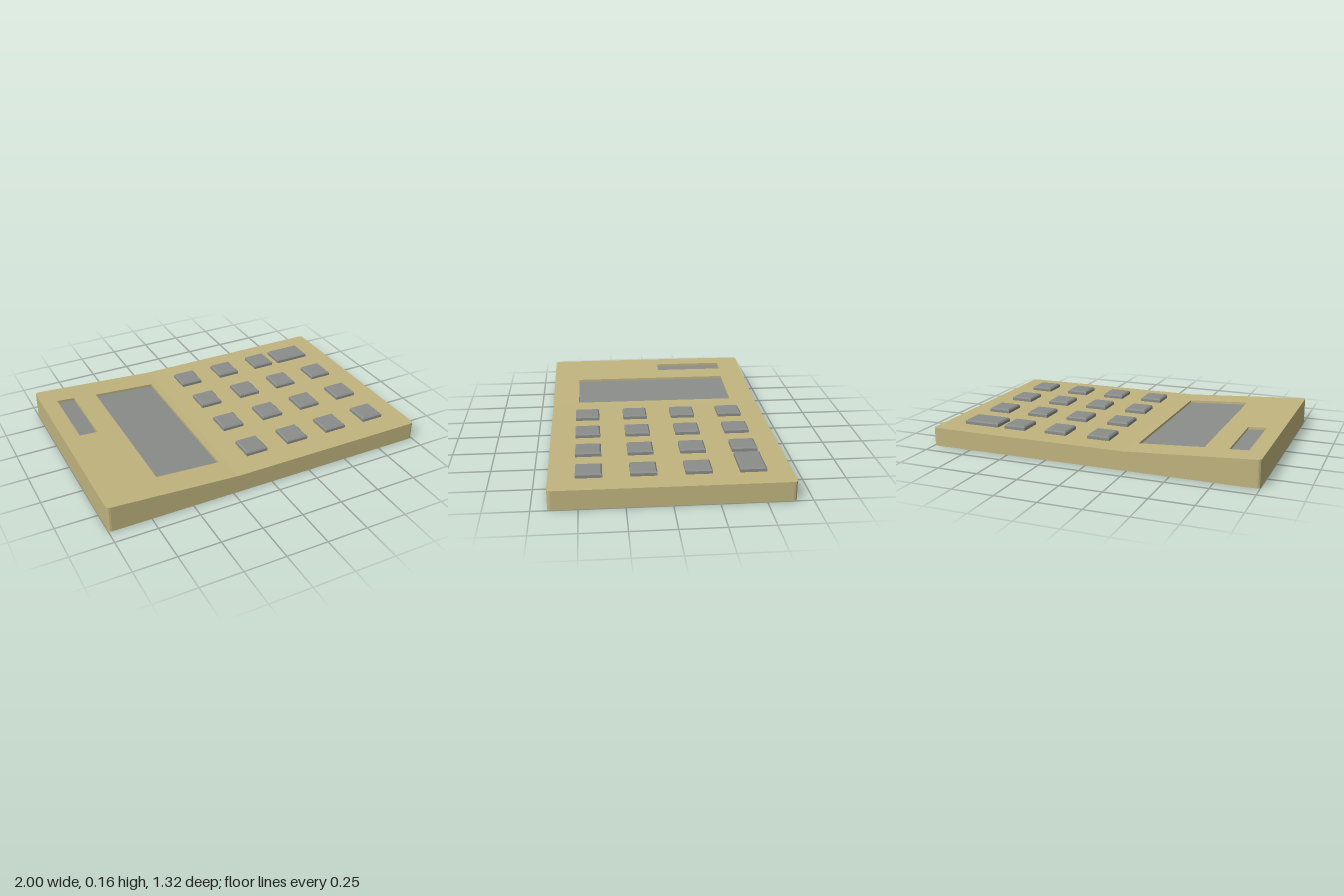
import * as THREE from 'three';

const CREASE = -0.22, FLAT = 0.112, HIGH = 0.16;
const HALF_Z = 0.661, R = 0.02, SINK = 0.015;

// height of the top face: sloped head, flat keypad
const topY = (x) => FLAT + (HIGH - FLAT) * Math.max(0, (CREASE - x) / (CREASE + 1));

// plan points are (x, -z), counter-clockwise seen from above
const rect = (x0, x1, z0, z1) => [[x0, -z1], [x1, -z1], [x1, -z0], [x0, -z0]].map((p) => new THREE.Vector2(...p));

function arc(cx, cy, start) {
  return [0, 1, 2, 3].map((i) => {
    const a = start + (i / 3) * Math.PI / 2;
    return new THREE.Vector2(cx + R * Math.cos(a), cy + R * Math.sin(a));
  });
}

// horizontal face whose height follows a rule
function cap(points, holes, height) {
  const shape = new THREE.Shape(points);
  shape.holes = holes.map((h) => new THREE.Path(h));
  const geo = new THREE.ShapeGeometry(shape).rotateX(-Math.PI / 2);
  const p = geo.attributes.position;
  for (let i = 0; i < p.count; i++) p.setY(i, height(p.getX(i)));
  geo.computeVertexNormals();
  return geo;
}

// vertical band around a closed outline, facing outwards (or inwards)
function wall(points, low, high, inward = false) {
  const pos = [];
  points.forEach((p, i) => {
    let a = p, b = points[(i + 1) % points.length];
    if (inward) [a, b] = [b, a];
    const v = [[a, low], [b, low], [b, high], [a, high]].map(([q, h]) => [q.x, h(q.x), -q.y]);
    for (const k of [0, 1, 2, 0, 2, 3]) pos.push(...v[k]);
  });
  const geo = new THREE.BufferGeometry();
  geo.setAttribute('position', new THREE.Float32BufferAttribute(pos, 3));
  geo.computeVertexNormals();
  return geo;
}

// key cap with a small chamfer round its top
function keyGeometry(w, d) {
  const b = 0.008;
  const shape = new THREE.Shape(rect(-w / 2 + b, w / 2 - b, -d / 2 + b, d / 2 - b));
  return new THREE.ExtrudeGeometry(shape, {
    depth: 0.03, bevelEnabled: true, bevelThickness: b, bevelSize: b, bevelSegments: 1,
  }).rotateX(-Math.PI / 2);
}

export function createModel() {
  const group = new THREE.Group();
  const caseMat = new THREE.MeshStandardMaterial({ color: 0xc0b47e });
  const greyMat = new THREE.MeshStandardMaterial({ color: 0x8a8d8a });
  const add = (parent, name, geo, mat) => {
    const mesh = new THREE.Mesh(geo, mat);
    mesh.name = name;
    parent.add(mesh);
    return mesh;
  };

  // case
  const body = new THREE.Group();
  body.name = 'case';
  group.add(body);
  const cx = 1 - R, cy = HALF_Z - R, q = Math.PI / 2;
  const creaseFront = new THREE.Vector2(CREASE, -HALF_Z), creaseBack = new THREE.Vector2(CREASE, HALF_Z);
  const keypadEnd = [creaseFront, ...arc(cx, -cy, -q), ...arc(cx, cy, 0), creaseBack];
  const headEnd = [creaseBack, ...arc(-cx, cy, q), ...arc(-cx, -cy, 2 * q), creaseFront];
  const outline = [...keypadEnd, ...headEnd.slice(1, -1)];
  const windows = {
    display: rect(-0.648, -0.262, -0.5, 0.495),
    solarPanel: rect(-0.9, -0.79, -0.51, -0.07),
  };
  const sunkY = (x) => topY(x) - SINK;
  add(body, 'keypadFace', cap(keypadEnd, [], topY), caseMat);
  add(body, 'headFace', cap(headEnd, Object.values(windows), topY), caseMat);
  add(body, 'sideWall', wall(outline, () => 0, topY), caseMat);
  const base = new THREE.ShapeGeometry(new THREE.Shape(outline)).rotateX(Math.PI / 2);
  add(body, 'base', base, caseMat);

  // sunken display and solar panel
  for (const [name, pts] of Object.entries(windows)) {
    add(body, name + 'Recess', wall(pts, sunkY, topY, true), caseMat);
    add(group, name, cap(pts, [], sunkY), greyMat);
  }

  // keys, with one wide key at the back corner
  const keys = new THREE.Group();
  keys.name = 'keys';
  group.add(keys);
  const small = keyGeometry(0.136, 0.146), wide = keyGeometry(0.224, 0.146);
  [-0.448, -0.152, 0.146, 0.441].forEach((z, row) => {
    [-0.019, 0.254, 0.523, 0.795].forEach((x, col) => {
      const isWide = row === 0 && col === 3;
      const key = add(keys, isWide ? 'wideKey' : 'key', isWide ? wide : small, greyMat);
      key.position.set(isWide ? 0.749 : x, 0.137 - 0.038, z);
    });
  });
  return group;
}
